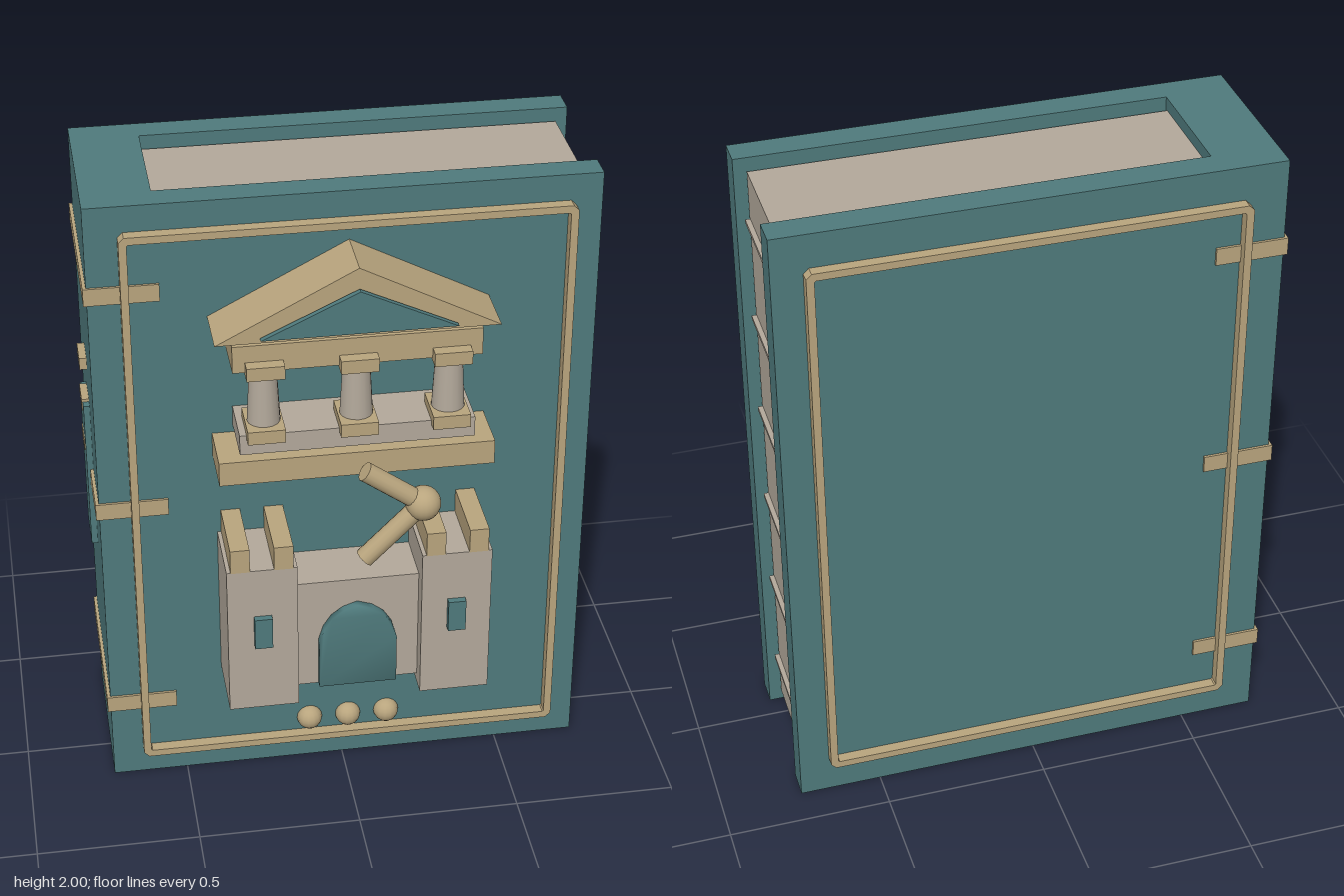
import * as THREE from 'three';
import { mergeVertices } from 'three/addons/utils/BufferGeometryUtils.js';

const mat = (name, color) => {
  const m = new THREE.MeshStandardMaterial({ color });
  m.name = name;
  return m;
};

export function createModel() {
  const teal = mat('teal cover', 0x4f7a7c);
  const tan = mat('tan trim', 0xb9a57e);
  const stone = mat('pale stone', 0xb3a99b);

  const model = new THREE.Group();
  model.name = 'book';
  const group = (name) => {
    const g = new THREE.Group();
    g.name = name;
    model.add(g);
    return g;
  };
  const add = (parent, name, geometry, material) => {
    const mesh = new THREE.Mesh(geometry, material);
    mesh.name = name;
    parent.add(mesh);
    return mesh;
  };
  // Box given by its limits on each axis
  const box = (parent, name, material, [x0, x1], [y0, y1], [z0, z1]) => {
    const mesh = add(parent, name, new THREE.BoxGeometry(x1 - x0, y1 - y0, z1 - z0), material);
    mesh.position.set((x0 + x1) / 2, (y0 + y1) / 2, (z0 + z1) / 2);
    return mesh;
  };
  const extrude = (shape, z0, z1, curveSegments = 8) => {
    const g = new THREE.ExtrudeGeometry(shape, { depth: z1 - z0, bevelEnabled: false, curveSegments });
    return g.translate(0, 0, z0);
  };
  const outline = (points) => points.map(([x, y]) => new THREE.Vector2(x, y));

  const FRONT = 0.151, BACK = -0.386; // outer cover faces
  const CX = 0.018; // centre line of the ornaments

  // Covers, spine and page block
  const book = group('binding');
  box(book, 'frontCover', teal, [-0.531, 0.752], [0, 2], [0.066, FRONT]);
  box(book, 'backCover', teal, [-0.531, 0.752], [0, 2], [BACK, -0.299]);
  box(book, 'spine', teal, [-0.733, -0.531], [0, 2], [BACK, FRONT]);
  box(book, 'pages', stone, [-0.531, 0.715], [0.043, 1.962], [-0.287, 0.054]);
  for (let i = 0; i < 6; i++) {
    const y = 0.198 + i * 0.322;
    box(book, 'pageRidge', stone, [0.7, 0.73], [y - 0.006, y + 0.006], [-0.279, 0.047]);
  }

  // Raised border frames with clipped corners
  const clipped = (x0, x1, y0, y1, c) => outline([
    [x0 + c, y0], [x1 - c, y0], [x1, y0 + c], [x1, y1 - c],
    [x1 - c, y1], [x0 + c, y1], [x0, y1 - c], [x0, y0 + c],
  ]);
  const frame = (name, x0, x1, y0, y1, z0, z1) => {
    const w = 0.023;
    const shape = new THREE.Shape(clipped(x0, x1, y0, y1, 0.016));
    shape.holes.push(new THREE.Path(clipped(x0 + w, x1 - w, y0 + w, y1 - w, 0.004).reverse()));
    add(model, name, extrude(shape, z0, z1), tan);
  };
  frame('frontFrame', -0.638, 0.676, 0.082, 1.919, FRONT - 0.005, 0.187);
  frame('backFrame', -0.623, 0.66, 0.108, 1.894, -0.419, BACK + 0.005);

  // Straps around the spine
  for (const y of [0.28, 1.0, 1.725]) {
    box(model, 'strap', tan, [-0.743, -0.526], [y - 0.027, y + 0.027], [-0.394, 0.159]);
  }

  // Spine emblem
  const emblem = group('spineEmblem');
  box(emblem, 'emblemPlate', teal, [-0.752, -0.73], [0.757, 1.25], [-0.19, -0.043]);
  for (const y of [1.1, 1.24, 1.381]) {
    box(emblem, 'emblemBar', tan, [-0.755, -0.73], [y - 0.019, y + 0.019], [-0.164, -0.07]);
  }

  // Temple
  const temple = group('temple');
  const span = (half, x = CX) => [x - half, x + half];
  const triangle = (half, y0, y1) =>
    new THREE.Shape(outline([[CX - half, y0], [CX + half, y0], [CX, y1]]));
  add(temple, 'pediment', extrude(triangle(0.411, 1.633, 1.847), FRONT, 0.329), tan);
  add(temple, 'pedimentPanel', extrude(triangle(0.283, 1.652, 1.785), 0.335, 0.353), teal);
  box(temple, 'entablature', tan, span(0.361), [1.535, 1.62], [FRONT, 0.318]);
  box(temple, 'stylobate', stone, span(0.345), [1.264, 1.328], [FRONT, 0.322]);
  box(temple, 'templeBase', tan, span(0.407), [1.163, 1.24], [FRONT, 0.322]);
  for (const dx of [-0.27, 0, 0.27]) {
    const x = CX + dx;
    box(temple, 'capital', tan, span(0.055, x), [1.525, 1.567], [0.213, 0.355]);
    box(temple, 'columnBase', tan, span(0.055, x), [1.315, 1.357], [0.213, 0.355]);
    const column = add(temple, 'column', new THREE.CylinderGeometry(0.04, 0.049, 0.17, 16), stone);
    column.position.set(x, 1.441, 0.284);
  }

  // Two rods meeting at a ball
  const joint = group('rodsAndBall');
  const hub = new THREE.Vector3(0.206, 1.072, 0.364);
  add(joint, 'ball', new THREE.SphereGeometry(0.053, 20, 14), tan).position.copy(hub);
  for (const [x, y] of [[0.031, 1.199], [0.031, 0.895]]) {
    const end = new THREE.Vector3(x, y, hub.z);
    const dir = end.clone().sub(hub);
    const rod = add(joint, 'rod', new THREE.CylinderGeometry(0.03, 0.03, dir.length(), 14), tan);
    rod.position.copy(hub).add(end).multiplyScalar(0.5);
    rod.quaternion.setFromUnitVectors(new THREE.Vector3(0, 1, 0), dir.normalize());
  }

  // Castle
  const castle = group('castle');
  box(castle, 'gateWall', stone, [-0.17, 0.206], [0.415, 0.79], [FRONT, 0.322]);
  for (const side of [-1, 1]) {
    const x = CX + side * 0.294;
    box(castle, 'tower', stone, span(0.106, x), [0.385, 0.89], [FRONT, 0.375]);
    for (const d of [-0.065, 0.065]) {
      box(castle, 'battlement', tan, span(0.029, x + d), [0.888, 0.967], [FRONT, 0.376]);
    }
    box(castle, 'towerWindow', teal, span(0.027, x), [0.62, 0.725], [0.372, 0.396]);
  }

  // Arched gate, softly shaded all over
  const arch = new THREE.Shape();
  arch.moveTo(CX - 0.119, 0.417);
  arch.lineTo(CX + 0.119, 0.417);
  arch.lineTo(CX + 0.119, 0.58);
  arch.quadraticCurveTo(CX + 0.1, 0.69, CX, 0.71);
  arch.quadraticCurveTo(CX - 0.1, 0.69, CX - 0.119, 0.58);
  arch.closePath();
  const gate = extrude(arch, 0.3, 0.346, 4);
  gate.deleteAttribute('uv');
  gate.deleteAttribute('normal');
  const softGate = mergeVertices(gate, 1e-4);
  softGate.clearGroups();
  softGate.computeVertexNormals();
  add(castle, 'gate', softGate, teal);

  // Row of beads
  for (const dx of [-0.123, 0, 0.123]) {
    add(model, 'bead', new THREE.SphereGeometry(0.04, 14, 10), tan).position.set(CX + dx, 0.154, 0.154);
  }

  return model;
}
